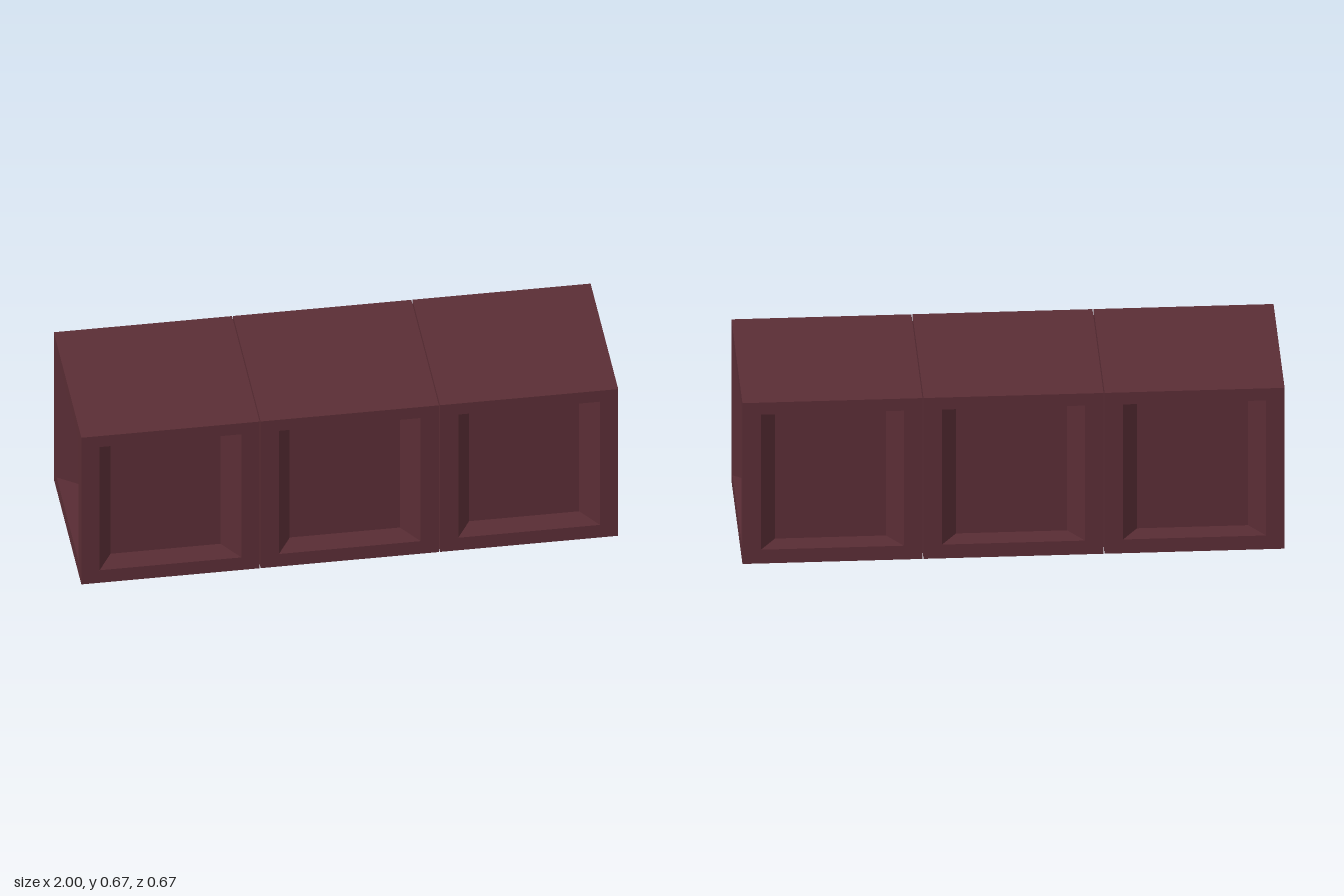
import * as THREE from 'three';

const W = 0.664, H = 0.668, D = 0.668;   // one crate
const PITCH = 0.668;                     // crate spacing, leaving a hairline gap
const OPEN = { x: 0.264, y0: 0.057, y1: 0.618 };    // recess mouth
const PANEL = { x: 0.205, y0: 0.038, y1: 0.645 };   // recess back panel
const DEPTH = 0.122;

const ring = (r, z) => [[-r.x, r.y0, z], [r.x, r.y0, z], [r.x, r.y1, z], [-r.x, r.y1, z]];

// flat border around the recess mouth
function frameGeometry(width) {
  const h = width / 2;
  const shape = new THREE.Shape([
    new THREE.Vector2(-h, 0), new THREE.Vector2(h, 0),
    new THREE.Vector2(h, H), new THREE.Vector2(-h, H),
  ]);
  shape.holes.push(new THREE.Path(ring(OPEN, 0).map(([x, y]) => new THREE.Vector2(x, y)).reverse()));
  return new THREE.ShapeGeometry(shape);
}

// four slanted walls and the back panel
function recessGeometry() {
  const o = ring(OPEN, 0), i = ring(PANEL, -DEPTH);
  const points = [];
  const quad = (a, b, c, d) => points.push(...a, ...b, ...c, ...a, ...c, ...d);
  for (let k = 0; k < 4; k++) {
    const n = (k + 1) % 4;
    quad(o[k], o[n], i[n], i[k]);
  }
  quad(i[0], i[1], i[2], i[3]);
  const geo = new THREE.BufferGeometry();
  geo.setAttribute('position', new THREE.Float32BufferAttribute(points, 3));
  geo.computeVertexNormals();
  return geo;
}

function createCrate(material) {
  const crate = new THREE.Group();
  const add = (parent, name, geometry) => {
    const mesh = new THREE.Mesh(geometry, material);
    mesh.name = name;
    parent.add(mesh);
    return mesh;
  };

  // four recessed sides
  ['front', 'left', 'back', 'right'].forEach((name, k) => {
    const side = new THREE.Group();
    side.name = name + 'Side';
    const facesZ = k % 2 === 0;
    add(side, name + 'Frame', frameGeometry(facesZ ? W : D));
    add(side, name + 'Recess', recessGeometry());
    const angle = k * Math.PI / 2;
    const offset = (facesZ ? D : W) / 2;
    side.rotation.y = angle;
    side.position.set(Math.sin(angle) * offset, 0, Math.cos(angle) * offset);
    crate.add(side);
  });

  // plain lid and base
  const lid = add(crate, 'lid', new THREE.PlaneGeometry(W, D));
  lid.rotation.x = -Math.PI / 2;
  lid.position.y = H;
  const base = add(crate, 'base', new THREE.PlaneGeometry(W, D));
  base.rotation.x = Math.PI / 2;
  return crate;
}

export function createModel() {
  const model = new THREE.Group();
  model.name = 'crateRow';
  const maroon = new THREE.MeshStandardMaterial({ color: 0x5a2d35 });
  maroon.name = 'maroon';

  // three identical crates side by side
  ['rightCrate', 'middleCrate', 'leftCrate'].forEach((name, k) => {
    const crate = createCrate(maroon);
    crate.name = name;
    crate.position.x = (k - 1) * PITCH;
    model.add(crate);
  });
  return model;
}
